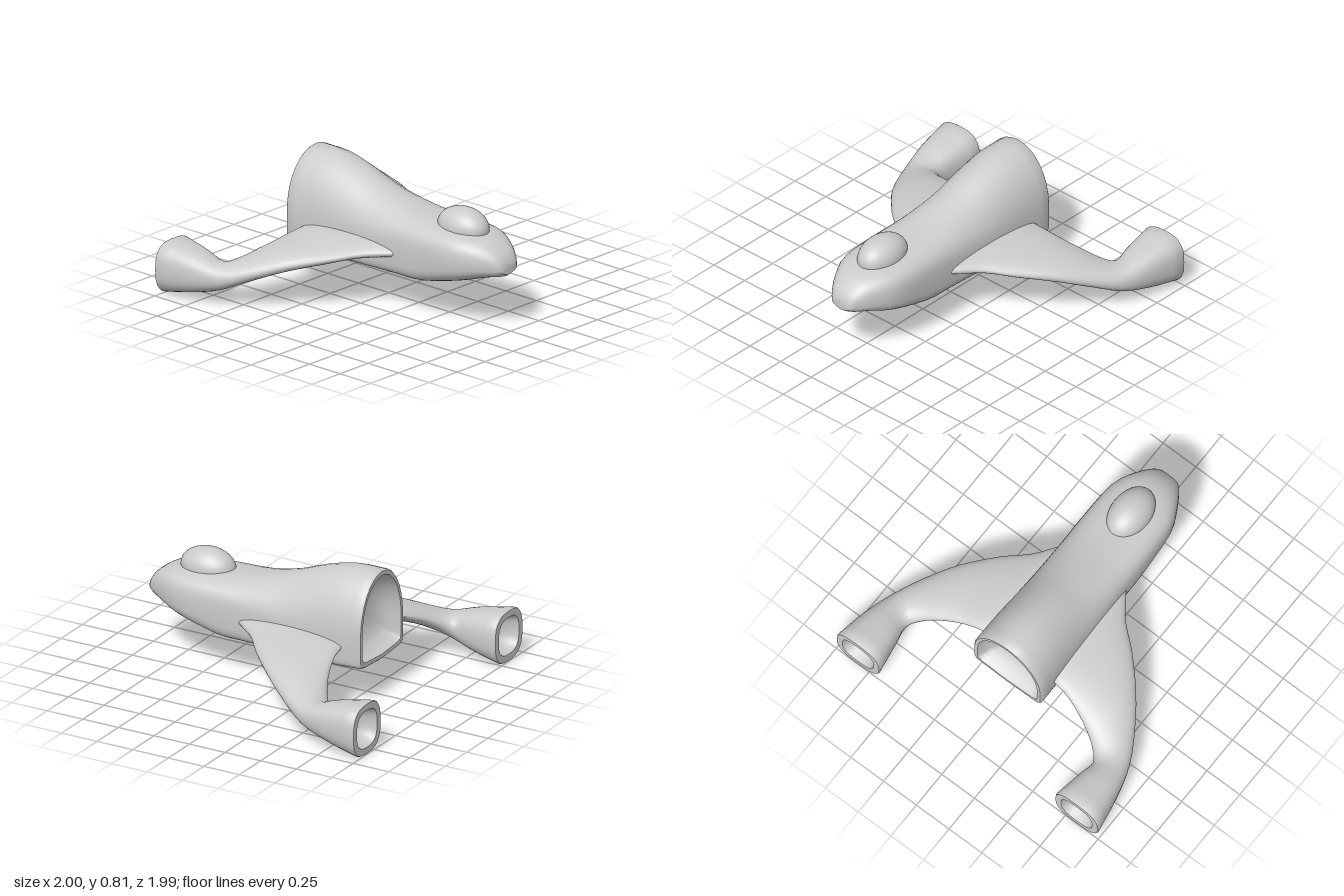
import * as THREE from 'three';
import { toCreasedNormals } from 'three/addons/utils/BufferGeometryUtils.js';

const V = (x, y, z) => new THREE.Vector3(x, y, z);
const material = new THREE.MeshStandardMaterial({ color: 0xcccccc });
const SIDES = 32;

// signed power, for rounded-box (superellipse) sections
const pow = (v, e) => Math.sign(v) * Math.pow(Math.abs(v), e);

// centre of a ring's bounds
const centre = (ring) => new THREE.Box3().setFromPoints(ring).getCenter(V());

// skins a list of equal rings and closes both ends; side = -1 mirrors in x
function loft(rings, side = 1, crease = 0.8) {
  const n = rings[0].length;
  const last = rings.length - 1;
  const points = [...rings.flat(), centre(rings[0]), centre(rings[last])];
  const index = [];
  const tri = (a, b, c) => (side > 0 ? index.push(a, b, c) : index.push(a, c, b));
  for (let j = 0; j < n; j++) {
    const k = (j + 1) % n;
    for (let i = 0; i < last; i++) {
      const a = i * n + j, b = i * n + k;
      tri(a, a + n, b);
      tri(b, a + n, b + n);
    }
    tri(points.length - 2, j, k);
    tri(points.length - 1, last * n + k, last * n + j);
  }
  const geometry = new THREE.BufferGeometry();
  geometry.setAttribute('position', new THREE.Float32BufferAttribute(
    points.flatMap((p) => [p.x * side, p.y, p.z]), 3));
  geometry.setIndex(index);
  return toCreasedNormals(geometry, crease);
}

// adds a hollow dish behind a ring: steps are [scale, z offset]
function hollow(rings, steps) {
  const rim = rings[rings.length - 1];
  const c = centre(rim);
  for (const [s, dz] of steps) {
    rings.push(rim.map((p) => V(c.x + (p.x - c.x) * s, c.y + (p.y - c.y) * s, p.z + dz)));
  }
}

// smooth curve through three columns of a table
const column = (rows, a, b, c) =>
  new THREE.CatmullRomCurve3(rows.map((r) => V(r[a], r[b], r[c])), false, 'catmullrom', 0.5);

function hullGeometry() {
  // z, half width, bottom, top, height of widest point, upper and lower roundness
  const rows = [
    [0.985, 0.07, 0.365, 0.44, 0.4, 0.8, 0.8],
    [0.95, 0.105, 0.345, 0.495, 0.42, 0.75, 0.7],
    [0.86, 0.165, 0.325, 0.555, 0.43, 0.7, 0.65],
    [0.71, 0.228, 0.28, 0.585, 0.44, 0.65, 0.55],
    [0.44, 0.24, 0.22, 0.6, 0.44, 0.7, 0.4],
    [0.24, 0.24, 0.22, 0.625, 0.44, 0.85, 0.32],
    [0, 0.245, 0.22, 0.69, 0.44, 1.05, 0.26],
    [-0.2, 0.25, 0.22, 0.765, 0.44, 1.05, 0.24],
    [-0.4, 0.255, 0.222, 0.815, 0.45, 1, 0.22],
    [-0.595, 0.258, 0.235, 0.82, 0.45, 1, 0.2],
  ];
  const size = column(rows, 1, 2, 3);
  const place = column(rows, 0, 4, 5);
  const lower = column(rows, 6, 6, 6);
  const rings = [];
  const steps = (rows.length - 1) * 3;
  for (let i = 0; i <= steps; i++) {
    const t = i / steps;
    const s = size.getPoint(t), p = place.getPoint(t), low = lower.getPoint(t).x;
    rings.push(Array.from({ length: SIDES }, (_, j) => {
      const a = (j / SIDES) * Math.PI * 2;
      const up = Math.sin(a) >= 0;
      const e = up ? p.z : low;
      const x = s.x * pow(Math.cos(a), e);
      const reach = up ? s.z - p.y : p.y - s.y;
      // the belly rises slightly from keel to edge
      const belly = up ? 0 : 0.015 * Math.abs(x / s.x) * -Math.sin(a);
      return V(x, p.y + reach * pow(Math.sin(a), e) + belly, p.x);
    }));
  }
  // engine opening in the tail
  hollow(rings, [[0.97, -0.01], [0.88, -0.01], [0.83, 0.02], [0.74, 0.07], [0.55, 0.11], [0.25, 0.13]]);
  return loft(rings);
}

function wingGeometry(side) {
  // outer edge x, z; inner edge x, z; mid height, half thickness, droop of inner edge
  const rows = [
    [0.2, 0.31, 0.2, -0.46, 0.38, 0.055, 0],
    [0.26, 0.23, 0.26, -0.475, 0.375, 0.056, 0],
    [0.36, 0.1, 0.34, -0.485, 0.362, 0.056, 0],
    [0.5, -0.02, 0.45, -0.515, 0.338, 0.058, 0.01],
    [0.67, -0.2, 0.57, -0.565, 0.298, 0.064, 0.02],
    [0.8, -0.38, 0.66, -0.62, 0.235, 0.068, 0.01],
    [0.9, -0.56, 0.715, -0.685, 0.178, 0.082, 0],
    [0.96, -0.76, 0.7, -0.79, 0.175, 0.125, 0],
    [1, -0.99, 0.67, -0.99, 0.172, 0.167, 0],
  ];
  const outer = column(rows, 0, 4, 1);
  const inner = column(rows, 2, 4, 3);
  const thick = column(rows, 5, 6, 5);
  const rings = [];
  const steps = (rows.length - 1) * 3;
  for (let i = 0; i <= steps; i++) {
    const t = i / steps;
    const o = outer.getPoint(t), n = inner.getPoint(t), h = thick.getPoint(t);
    n.y -= h.y;
    const e = THREE.MathUtils.lerp(1, 0.72, THREE.MathUtils.smoothstep(t, 0.6, 1));
    rings.push(Array.from({ length: SIDES }, (_, j) => {
      const a = (j / SIDES) * Math.PI * 2;
      const p = n.clone().lerp(o, 0.5 + 0.5 * pow(Math.cos(a), e));
      p.y += h.x * pow(Math.sin(a), e);
      return p;
    }));
  }
  // nozzle opening at the end of the pod
  hollow(rings, [[0.97, -0.01], [0.72, -0.01], [0.65, 0.03], [0.52, 0.09], [0.25, 0.12]]);
  return loft(rings, side);
}

export function createModel() {
  const model = new THREE.Group();
  model.name = 'spacecraft';
  const add = (name, geometry) => {
    const mesh = new THREE.Mesh(geometry, material);
    mesh.name = name;
    model.add(mesh);
    return mesh;
  };

  add('hull', hullGeometry());

  // swept wings that flow into the engine pods
  add('leftWingAndPod', wingGeometry(1));
  add('rightWingAndPod', wingGeometry(-1));

  // cockpit bubble
  const canopy = add('canopy', new THREE.SphereGeometry(1, 32, 20));
  canopy.scale.set(0.125, 0.122, 0.182);
  canopy.position.set(0, 0.585, 0.612);

  return model;
}
